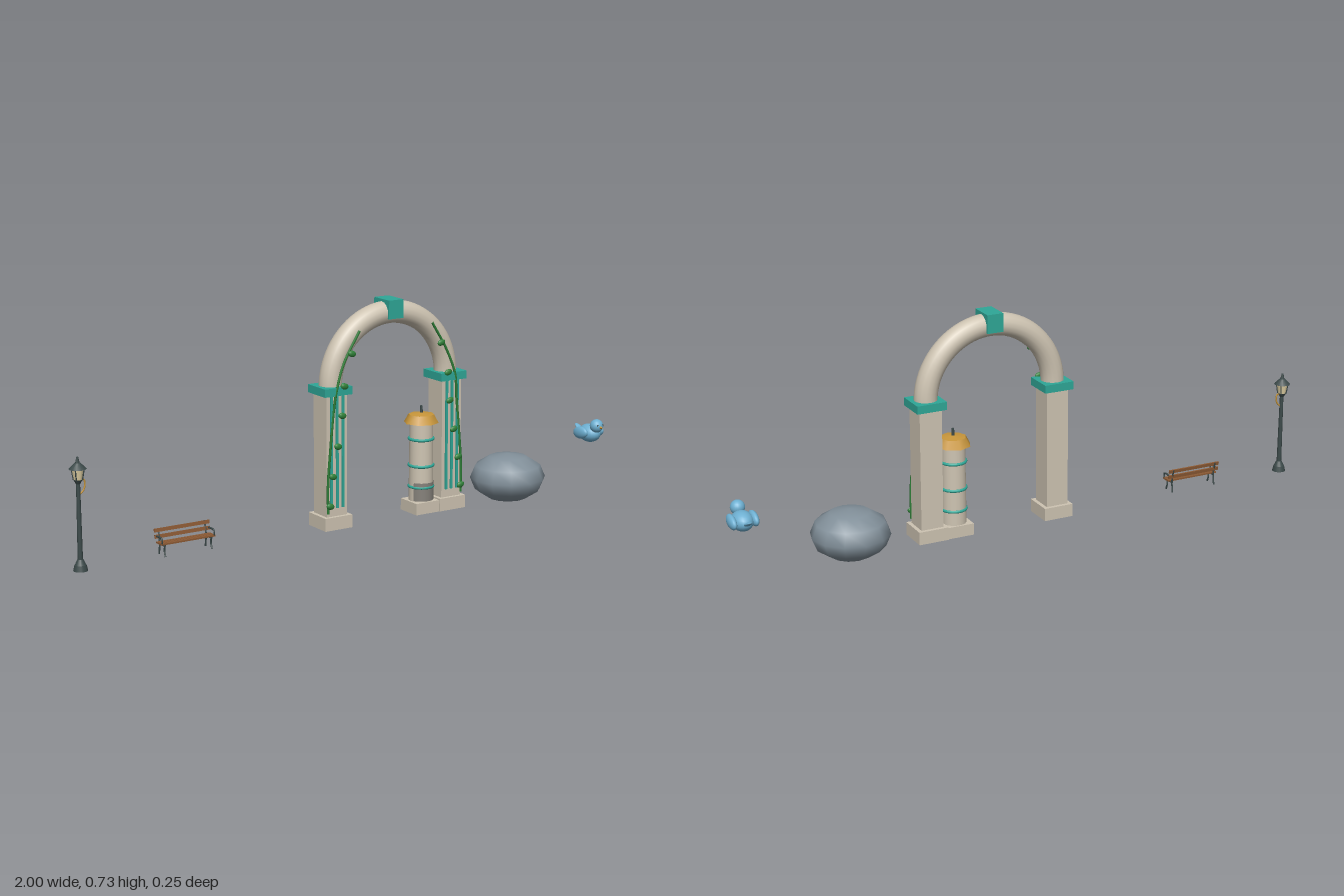
import * as THREE from 'three';

const mat = (name, color) => Object.assign(new THREE.MeshStandardMaterial({ color }), { name });
const V = (x, y, z) => new THREE.Vector3(x, y, z);

export function createModel() {
  const root = new THREE.Group();
  const stone = mat('cream stone', 0xcec4b2), teal = mat('teal trim', 0x2fa797);
  const green = mat('vine green', 0x2f8038), gold = mat('gold', 0xc8963a);
  const grey = mat('boulder grey', 0x82909a), blue = mat('bird blue', 0x6eb0d2);
  const iron = mat('dark iron', 0x3c4a4a), wood = mat('wood brown', 0x8c5a34);
  const glass = mat('lamp glass', 0xe6d6a8), shade = mat('column panel grey', 0x85817a);

  const group = (name, x = 0, y = 0, z = 0) => {
    const g = new THREE.Group();
    g.name = name;
    g.position.set(x, y, z);
    root.add(g);
    return g;
  };
  const add = (parent, name, geo, m, x = 0, y = 0, z = 0) => {
    const mesh = new THREE.Mesh(geo, m);
    mesh.name = name;
    mesh.position.set(x, y, z);
    parent.add(mesh);
    return mesh;
  };
  const box = (p, name, m, w, h, d, x, y, z) => add(p, name, new THREE.BoxGeometry(w, h, d), m, x, y, z);
  const cyl = (p, name, m, rt, rb, y0, y1, n = 16) =>
    add(p, name, new THREE.CylinderGeometry(rt, rb, y1 - y0, n), m, 0, (y0 + y1) / 2, 0);
  const ball = (p, name, m, rx, ry, rz, x, y, z, ws = 20, hs = 14) => {
    const b = add(p, name, new THREE.SphereGeometry(1, ws, hs), m, x, y, z);
    b.scale.set(rx, ry, rz);
    return b;
  };
  const tube = (p, name, m, pts, r, n = 24) =>
    add(p, name, new THREE.TubeGeometry(new THREE.CatmullRomCurve3(pts), n, r, 6), m);

  // Archway: two pillars, half-ring and keystone
  const arch = group('archway', 0.12);
  add(arch, 'archRing', new THREE.TorusGeometry(0.22, 0.037, 16, 40, Math.PI), stone, 0, 0.47, 0);
  box(arch, 'keystone', teal, 0.054, 0.06, 0.085, 0, 0.703, 0);
  const leaves = [[0.251, 0.1], [0.241, 0.195], [0.222, 0.29], [0.206, 0.387], [0.198, 0.48], [0.17, 0.58]];
  for (const s of [-1, 1]) {
    const x = s * 0.22;
    box(arch, 'pillarBase', stone, 0.1, 0.042, 0.1, x, 0.042, 0);
    box(arch, 'pillar', stone, 0.075, 0.39, 0.076, x, 0.257, 0);
    box(arch, 'capital', teal, 0.1, 0.026, 0.1, x, 0.465, 0);
    for (const dx of [-0.021, 0, 0.021])
      box(arch, 'pillarStripe', teal, 0.008, 0.36, 0.006, x + dx, 0.27, 0.04);
    // Climbing vine with leaves
    tube(arch, 'vine', green, [
      V(s * 0.256, 0.075, 0.043), V(s * 0.256, 0.17, 0.043), V(s * 0.247, 0.28, 0.043),
      V(s * 0.235, 0.4, 0.043), V(s * 0.226, 0.47, 0.048), V(s * 0.197, 0.55, 0.043),
      V(s * 0.138, 0.648, 0.042)], 0.004, 40);
    for (const [lx, ly] of leaves)
      ball(arch, 'leaf', green, 0.015, 0.01, 0.006, s * lx, ly, 0.049, 10, 8).rotation.z = s * 0.25;
  }

  // Small banded column with a gold roof
  const col = group('roofedColumn', 0.248);
  box(col, 'columnBase', stone, 0.096, 0.038, 0.09, 0, 0.039, 0);
  cyl(col, 'shaft', stone, 0.038, 0.04, 0.058, 0.318, 20);
  add(col, 'frontPanel', new THREE.CylinderGeometry(0.0412, 0.0415, 0.06, 14, 1, true, -1.2, 2.4), shade, 0, 0.09, 0)
    .material.side = THREE.DoubleSide;
  for (const y of [0.104, 0.174, 0.262]) {
    const ring = add(col, 'band', new THREE.TorusGeometry(0.039, 0.005, 8, 24), teal, 0, y, 0);
    ring.rotation.x = Math.PI / 2;
  }
  cyl(col, 'roofSlope', gold, 0.042, 0.057, 0.315, 0.342, 8);
  cyl(col, 'roofCap', gold, 0.006, 0.042, 0.342, 0.347, 8);
  cyl(col, 'finial', iron, 0.004, 0.005, 0.342, 0.37, 8);

  // Boulder
  ball(group('boulder', 0.6, 0.084), 'rock', grey, 0.127, 0.081, 0.124, 0, 0, 0, 12, 6);

  // Bird
  const bird = group('bird', 0.948);
  ball(bird, 'body', blue, 0.034, 0.031, 0.044, 0, 0.189, 0);
  ball(bird, 'head', blue, 0.023, 0.023, 0.023, 0, 0.22, 0.037);
  add(bird, 'beak', new THREE.ConeGeometry(0.006, 0.017, 8), gold, 0, 0.218, 0.064).rotation.x = Math.PI / 2;
  ball(bird, 'tail', blue, 0.011, 0.005, 0.025, 0, 0.196, -0.053).rotation.x = 0.5;
  for (const s of [-1, 1]) {
    ball(bird, 'wing', blue, 0.013, 0.021, 0.036, s * 0.035, 0.193, -0.005).rotation.x = -0.15;
    ball(bird, 'eye', iron, 0.003, 0.003, 0.003, s * 0.011, 0.226, 0.056, 8, 6);
  }

  // Street lamp
  const lamp = group('streetLamp', -0.974);
  cyl(lamp, 'foot', iron, 0.018, 0.022, 0.02, 0.038);
  cyl(lamp, 'footCollar', iron, 0.009, 0.017, 0.038, 0.055);
  cyl(lamp, 'pole', iron, 0.006, 0.008, 0.05, 0.29, 12);
  cyl(lamp, 'lanternSeat', iron, 0.014, 0.007, 0.285, 0.298, 8);
  cyl(lamp, 'lanternGlass', glass, 0.019, 0.013, 0.298, 0.33, 8);
  for (let i = 0; i < 4; i++) {
    const a = Math.PI / 4 + i * Math.PI / 2, c = Math.cos(a), s = Math.sin(a);
    tube(lamp, 'lanternBar', iron, [V(c * 0.014, 0.296, s * 0.014), V(c * 0.02, 0.332, s * 0.02)], 0.002, 2);
  }
  cyl(lamp, 'lanternRoof', iron, 0.009, 0.027, 0.33, 0.348, 12);
  cyl(lamp, 'lanternTip', iron, 0.003, 0.007, 0.348, 0.366, 8);
  tube(lamp, 'scrollBracket', gold, [V(0.004, 0.252, 0), V(0.017, 0.264, 0), V(0.022, 0.282, 0),
    V(0.018, 0.296, 0), V(0.01, 0.294, 0)], 0.0025);

  // Bench
  const bench = group('bench', -0.622);
  for (const z of [-0.008, 0.004, 0.016])
    box(bench, 'seatSlat', wood, 0.186, 0.005, 0.01, 0, 0.062, z);
  for (const [y, z] of [[0.078, -0.018], [0.097, -0.021]])
    box(bench, 'backSlat', wood, 0.19, 0.011, 0.005, 0, y, z).rotation.x = -0.15;
  for (const s of [-1, 1]) {
    const x = s * 0.08;
    box(bench, 'seatRail', iron, 0.006, 0.005, 0.036, x, 0.057, 0.002);
    tube(bench, 'rearLeg', iron, [V(x, 0.022, -0.02), V(x, 0.06, -0.015), V(x, 0.103, -0.024)], 0.003, 8);
    tube(bench, 'frontLeg', iron, [V(x, 0.022, 0.021), V(x, 0.04, 0.015), V(x, 0.058, 0.018)], 0.003, 8);
    tube(bench, 'armrest', iron, [V(x * 1.12, 0.06, 0.018), V(x * 1.12, 0.078, 0.019),
      V(x * 1.12, 0.081, 0.008), V(x * 1.12, 0.08, -0.018)], 0.003, 12);
  }
  return root;
}
